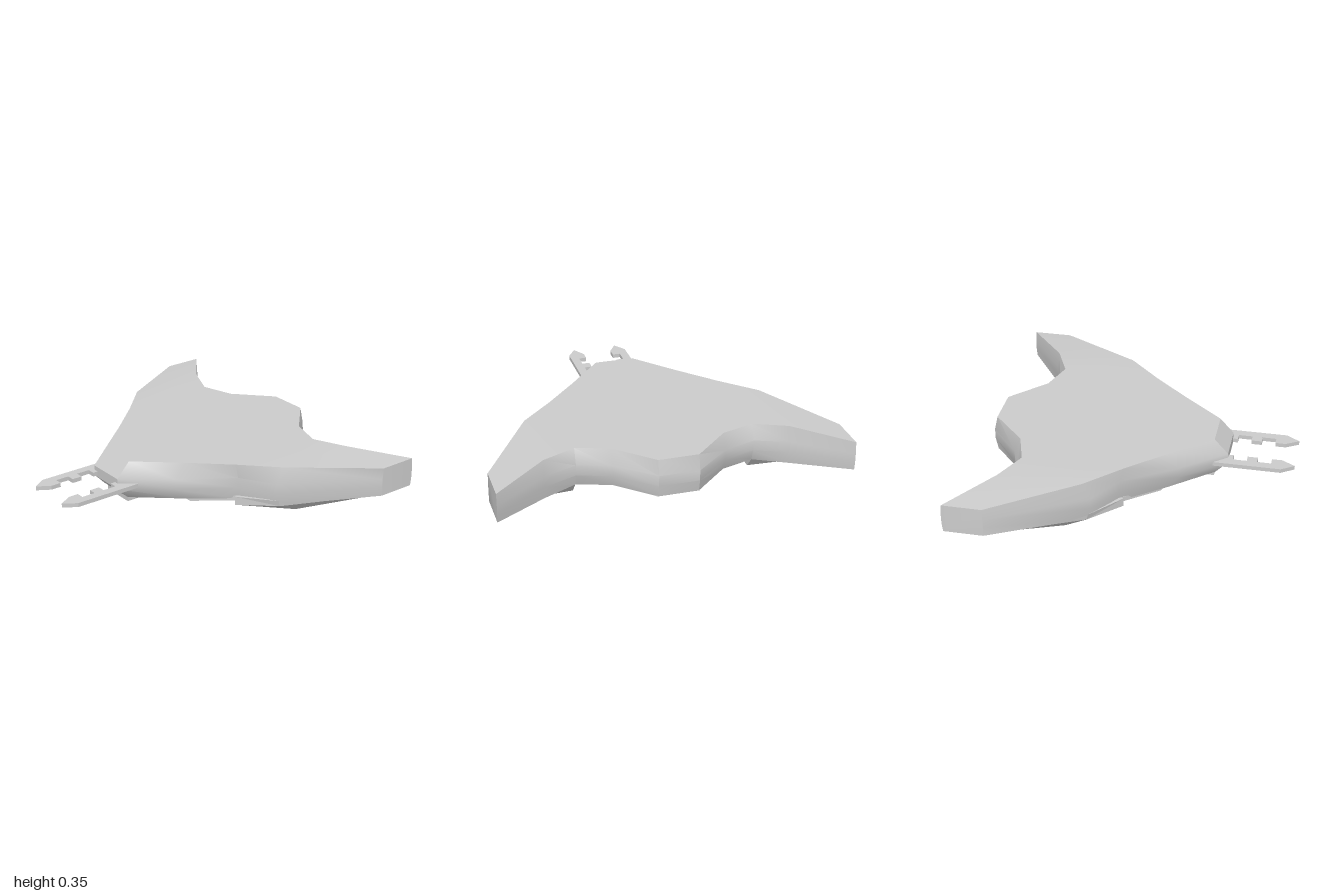
import * as THREE from 'three';
import { toCreasedNormals } from 'three/addons/utils/BufferGeometryUtils.js';

const material = new THREE.MeshStandardMaterial({ color: 0xcccccc, side: THREE.DoubleSide });

function addMesh(parent, name, geometry) {
  const mesh = new THREE.Mesh(geometry, material);
  mesh.name = name;
  parent.add(mesh);
  return mesh;
}

// Skin a row of equal-length convex rings, cap both ends and face outwards
function loft(rings, crease) {
  const tris = [];
  const n = rings[0].length;
  for (let i = 0; i < rings.length - 1; i++) {
    const a = rings[i], b = rings[i + 1];
    for (let j = 0; j < n; j++) {
      const k = (j + 1) % n;
      tris.push([a[j], b[j], b[k]], [a[j], b[k], a[k]]);
    }
  }
  const first = rings[0], last = rings[rings.length - 1];
  for (let j = 1; j < n - 1; j++) {
    tris.push([first[0], first[j], first[j + 1]], [last[0], last[j + 1], last[j]]);
  }
  let volume = 0;
  for (const [a, b, c] of tris) volume += a.dot(b.clone().cross(c));
  if (volume < 0) tris.forEach((t) => t.reverse());
  const geometry = new THREE.BufferGeometry().setFromPoints(tris.flat());
  geometry.computeVertexNormals();
  return crease ? toCreasedNormals(geometry, crease) : geometry;
}

// Ring in a plane of constant x, from [z, y] pairs
const ringX = (x, pairs) => pairs.map(([z, y]) => new THREE.Vector3(x, y, z));

export function createModel() {
  const model = new THREE.Group();
  model.name = 'spacecraft';

  // Swept flying-wing hull: x, top y, bottom y, front z (top, rim, bottom), back z (top, rim, bottom)
  const stations = [
    [0.115, 0.35, 0.13, 0.44, 0.52, 0.45, -0.845, -0.865, -0.85],
    [0.32, 0.35, 0.13, 0.2, 0.265, 0.21, -0.65, -0.69, -0.66],
    [0.51, 0.35, 0.13, -0.01, -0.03, -0.04, -0.59, -0.625, -0.6],
    [0.7, 0.35, 0.12, -0.2, -0.155, -0.18, -0.675, -0.69, -0.68],
    [1, 0.32, 0.15, -0.68, -0.675, -0.68, -0.905, -0.91, -0.905],
  ];
  const hullRing = ([x, top, low, ft, fr, fb, bt, br, bb], side) => {
    const y1 = low + (top - low) * 0.6, y2 = low + (top - low) * 0.32;
    return ringX(side * x, [
      [ft, top], [fr, y1], [fr, y2], [fb, low], [bb, low], [br, y2], [br, y1], [bt, top],
    ]);
  };
  const hullRings = [
    ...stations.slice().reverse().map((s) => hullRing(s, -1)),
    ...stations.map((s) => hullRing(s, 1)),
  ];
  addMesh(model, 'hull', loft(hullRings, 0.7));

  // Keel: z, bottom y, bottom half width, upper half width
  const keelRings = [
    [0.22, 0.12, 0.1, 0.26],
    [0.05, 0, 0.1, 0.31],
    [-0.22, 0, 0.1, 0.31],
    [-0.55, 0.055, 0.1, 0.31],
    [-0.85, 0.13, 0.1, 0.12],
  ].map(([z, y, w, t]) => [[-t, 0.13], [-w, y], [w, y], [t, 0.13], [t * 0.9, 0.16], [-t * 0.9, 0.16]]
    .map(([x, py]) => new THREE.Vector3(x, py, z)));
  addMesh(model, 'keel', loft(keelRings));

  // Chin block under the nose
  const chin = addMesh(model, 'chinBlock', new THREE.BoxGeometry(0.2, 0.05, 0.21));
  chin.position.set(0, 0.12, 0.335);

  for (const side of [1, -1]) {
    const label = side > 0 ? 'left' : 'right';

    // Stepped pod under each wing, fading into the tip
    addMesh(model, label + 'WingPod', loft([
      ringX(side * 0.51, [[-0.01, 0.15], [-0.01, 0.1], [-0.26, 0.06], [-0.54, 0.06], [-0.6, 0.13], [-0.6, 0.15]]),
      ringX(side * 0.7, [[-0.17, 0.15], [-0.18, 0.115], [-0.3, 0.06], [-0.54, 0.06], [-0.67, 0.13], [-0.67, 0.15]]),
      ringX(side * 0.995, [[-0.69, 0.17], [-0.69, 0.152], [-0.74, 0.148], [-0.84, 0.148], [-0.9, 0.152], [-0.9, 0.17]]),
    ]));

    // Shallow strip between keel and pod
    addMesh(model, label + 'BellyStrip', loft([
      [0.3, 0.13, 0.2, -0.64],
      [0.33, 0.107, 0.17, -0.63],
      [0.51, 0.122, -0.03, -0.59],
    ].map(([x, y, front, back]) => ringX(side * x, [
      [front, 0.15], [front, y], [back, y + 0.01], [back, 0.15],
    ]))));

    // Notched prong reaching forward from the nose
    const outline = [
      [0.05, 0.43], [0.05, 0.83], [0, 0.905], [-0.045, 0.83], [-0.045, 0.77], [0, 0.77], [0, 0.69],
      [-0.045, 0.69], [-0.045, 0.63], [0, 0.63], [0, 0.55], [-0.045, 0.55], [-0.045, 0.43],
    ];
    const shape = new THREE.Shape(outline.map(([x, z]) => new THREE.Vector2(side * x, z)));
    const geometry = new THREE.ExtrudeGeometry(shape, { depth: 0.024, bevelEnabled: false });
    geometry.rotateX(Math.PI / 2);
    const prong = addMesh(model, label + 'Prong', geometry);
    prong.position.set(side * 0.133 + 0.005, 0.236, 0);
  }
  return model;
}
